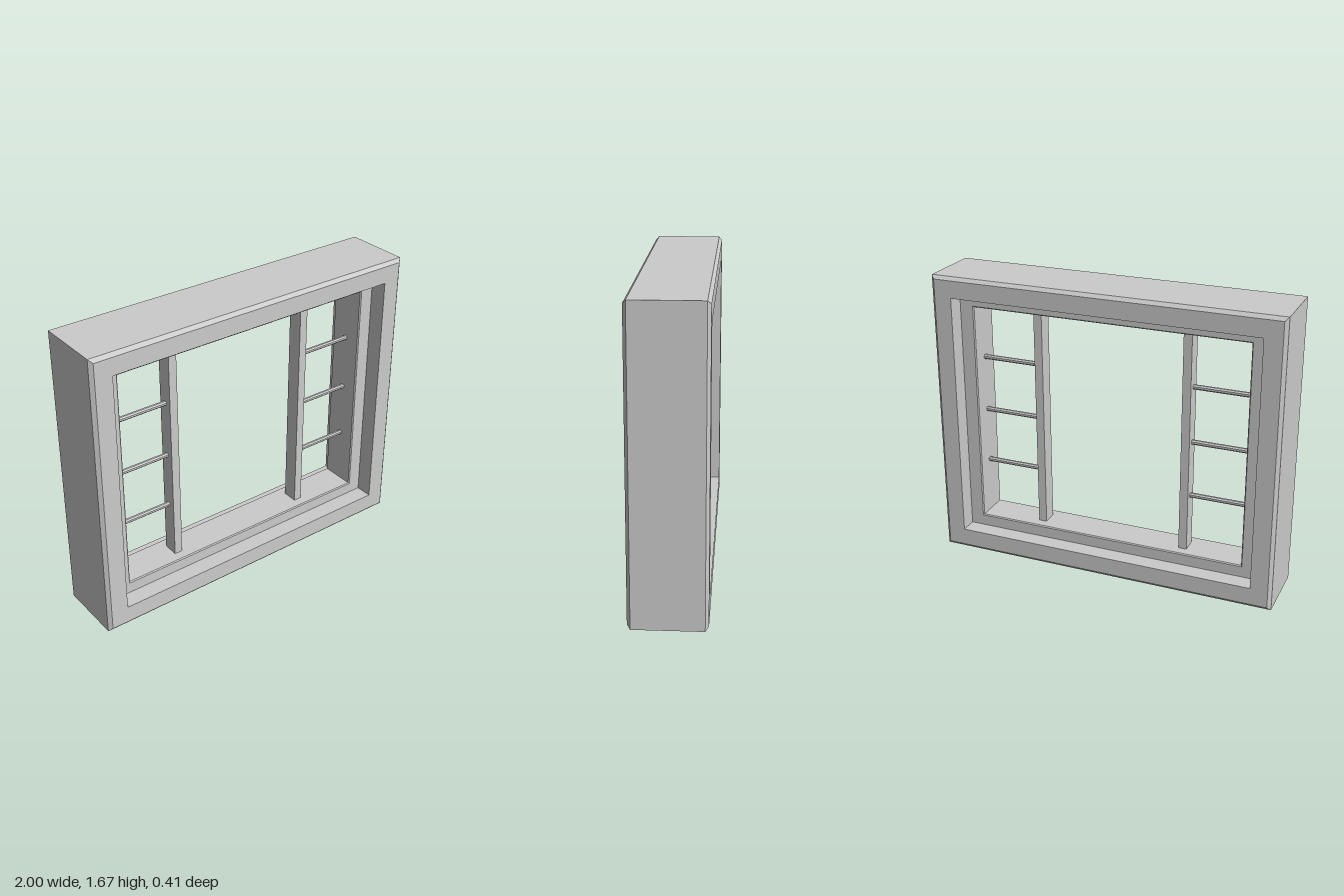
import * as THREE from 'three';

const CY = 0.833; // height of the frame centre
const material = new THREE.MeshStandardMaterial({ color: 0xcccccc, flatShading: true });

function addMesh(parent, name, geometry, x, y, z) {
  const mesh = new THREE.Mesh(geometry, material);
  mesh.name = name;
  mesh.position.set(x, y, z);
  parent.add(mesh);
  return mesh;
}

// Sweeps a closed profile of [half width, half height, z] around a rectangle.
function rectangularFrame(profile) {
  const corners = [[1, -1], [1, 1], [-1, 1], [-1, -1]];
  const point = (p, c) => [p[0] * c[0], p[1] * c[1], p[2]];
  const positions = [];
  profile.forEach((p, i) => {
    const q = profile[(i + 1) % profile.length];
    corners.forEach((c, j) => {
      const d = corners[(j + 1) % 4];
      const [a, b, e, f] = [point(p, c), point(p, d), point(q, d), point(q, c)];
      positions.push(...a, ...b, ...e, ...a, ...e, ...f);
    });
  });
  const geometry = new THREE.BufferGeometry();
  geometry.setAttribute('position', new THREE.Float32BufferAttribute(positions, 3));
  geometry.computeVertexNormals();
  return geometry;
}

export function createModel() {
  const group = new THREE.Group();
  group.name = 'windowFrame';

  // Front half of the frame section, outside to inside, mirrored for the back
  const front = [
    [1, 0.833, 0.187], [0.98, 0.813, 0.205],   // outer chamfer
    [0.88, 0.714, 0.205], [0.88, 0.714, 0.105], // recess wall
    [0.803, 0.651, 0.105], [0.797, 0.645, 0.099], // step and inner lip
  ];
  const back = front.map(([w, h, z]) => [w, h, -z]).reverse();
  addMesh(group, 'outerFrame', rectangularFrame([...front, ...back]), 0, CY, 0);

  // Upright posts and the rungs joining them to the frame sides
  const postX = 0.436, postWidth = 0.048, openingHeight = 1.29;
  const rungStart = postX + postWidth / 2, rungEnd = 0.797;
  for (const side of [1, -1]) {
    const label = side > 0 ? 'left' : 'right';
    addMesh(group, label + 'Post',
      new THREE.BoxGeometry(postWidth, openingHeight, 0.09), side * postX, CY, 0);
    for (let i = 1; i <= 3; i++) {
      const bar = new THREE.CylinderGeometry(0.014, 0.014, rungEnd - rungStart, 8);
      bar.rotateY(Math.PI / 8).rotateZ(Math.PI / 2);
      addMesh(group, label + 'Rung' + i, bar,
        side * (rungStart + rungEnd) / 2, CY + openingHeight * (i / 4 - 0.5), 0);
    }
  }
  return group;
}
